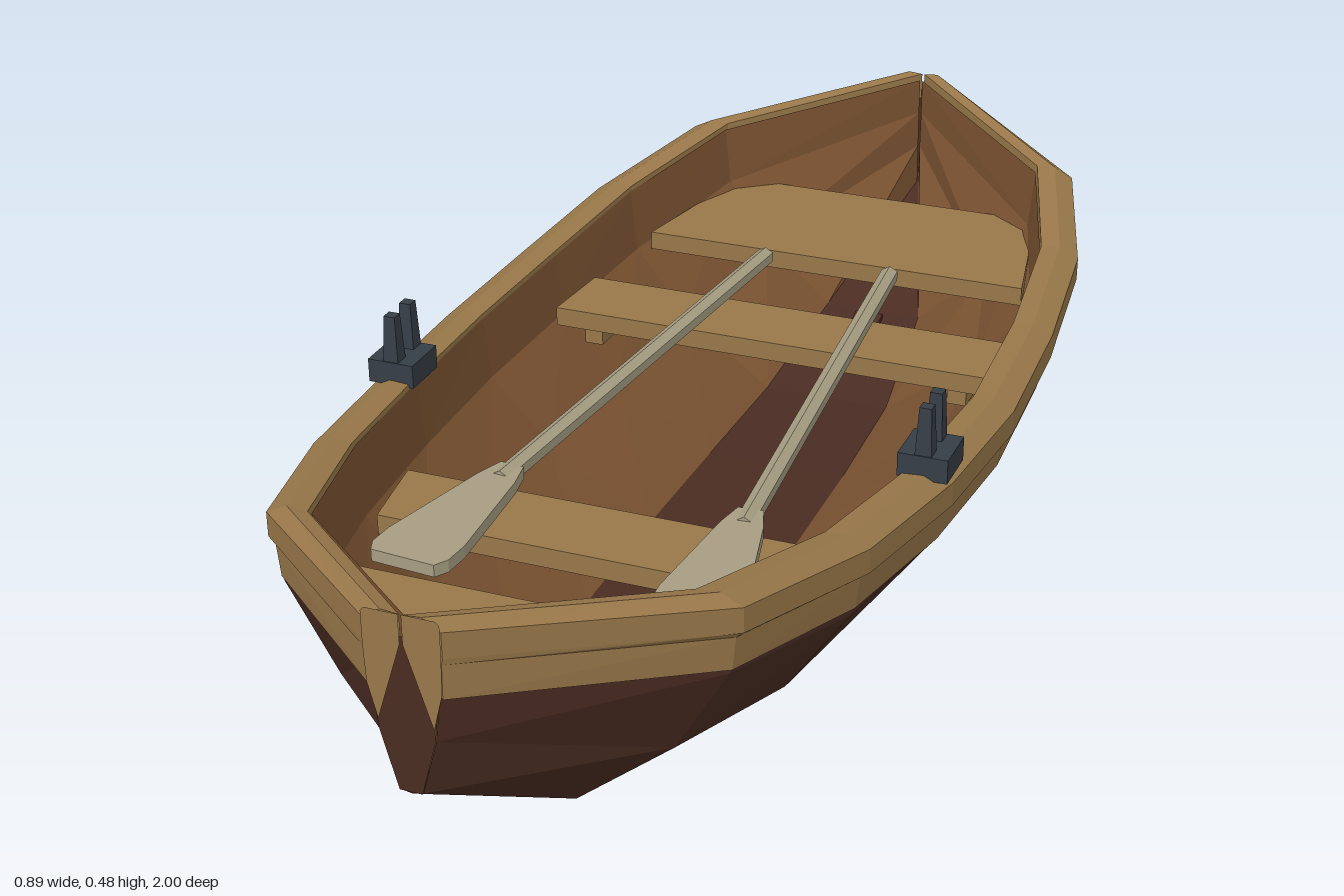
import * as THREE from 'three';

const mat = (name, color, side = THREE.FrontSide) =>
  Object.assign(new THREE.MeshStandardMaterial({ color, side, flatShading: true }), { name });

// Hull stations: z, half width at the rail, sheer height, bottom height
const STATIONS = [
  [-0.997, 0.05, 0.455, 0.235], [-0.75, 0.335, 0.412, 0.085], [-0.5, 0.41, 0.38, 0.03],
  [-0.25, 0.435, 0.361, 0.025], [0, 0.445, 0.355, 0.025], [0.25, 0.43, 0.365, 0.025],
  [0.5, 0.395, 0.39, 0.03], [0.75, 0.32, 0.43, 0.085], [0.997, 0.05, 0.478, 0.235],
];
const innerWidth = w => Math.max(w - 0.06, 0.002);

// Skin rows of points; an outline running anticlockwise in xy faces outward
function loft(rows, { closed = false, flip = false } = {}) {
  const pos = [];
  const tri = (a, b, c) => pos.push(...a, ...(flip ? c : b), ...(flip ? b : c));
  const n = rows[0].length;
  for (let i = 0; i < rows.length - 1; i++) {
    for (let j = 0; j < (closed ? n : n - 1); j++) {
      const k = (j + 1) % n;
      const [a, b, c, d] = [rows[i][j], rows[i][k], rows[i + 1][j], rows[i + 1][k]];
      tri(a, b, c);
      tri(b, d, c);
    }
  }
  if (closed) {
    const first = rows[0], last = rows[rows.length - 1];
    for (let j = 1; j < n - 1; j++) {
      tri(first[0], first[j + 1], first[j]);
      tri(last[0], last[j], last[j + 1]);
    }
  }
  const geo = new THREE.BufferGeometry();
  geo.setAttribute('position', new THREE.Float32BufferAttribute(pos, 3));
  geo.computeVertexNormals();
  return geo;
}

const mirrorRow = half => [...half.map(([x, y, z]) => [-x, y, z]).reverse(), ...half];
const shapeOf = pts => new THREE.Shape(pts.map(p => new THREE.Vector2(...p)));

// Flat board from half an outline in (x, z), mirrored across x
function board(half, top, thick) {
  const pts = [...half, ...half.map(([x, z]) => [-x, z]).reverse()];
  const geo = new THREE.ExtrudeGeometry(shapeOf(pts), { depth: thick, bevelEnabled: false });
  return geo.rotateX(Math.PI / 2).translate(0, top, 0);
}

export function createModel() {
  const boat = new THREE.Group();
  boat.name = 'rowingBoat';
  const darkWood = mat('dark wood', 0x4a2c22, THREE.DoubleSide);
  const innerWood = mat('inner wood', 0x7a5231, THREE.DoubleSide);
  const trimWood = mat('trim wood', 0x987749);
  const oarWood = mat('oar wood', 0xa69d82);
  const iron = mat('iron', 0x363e46);

  const add = (name, geo, material, parent = boat) => {
    const mesh = new THREE.Mesh(geo, material);
    mesh.name = name;
    parent.add(mesh);
    return mesh;
  };

  // Outer hull
  add('outerHull', loft(STATIONS.map(([z, w, t, b]) => {
    const h = t - b;
    return mirrorRow([[0, b - 0.003, z], [0.3 * w, b, z], [0.72 * w, b + 0.32 * h, z],
      [0.945 * w, b + 0.68 * h, z], [0.96 * w, t - 0.04, z]]);
  })), darkWood);

  // Inner floor strip and side walls
  const inner = STATIONS.map(([z, w, t, b]) => {
    const u = innerWidth(w), h = t - b, zi = z * 0.988;
    return [[0.3 * u, b + 0.02, zi], [0.72 * u, b + 0.02 + 0.31 * h, zi],
      [0.97 * u, b + 0.68 * h, zi], [u, t - 0.01, zi]];
  });
  add('floor', loft(inner.map(r => mirrorRow([r[0]])), { flip: true }), darkWood);
  add('leftInnerWall', loft(inner, { flip: true }), innerWood);
  add('rightInnerWall', loft(inner.map(r => r.map(([x, y, z]) => [-x, y, z]))), innerWood);

  // Gunwale with the strake below it
  const rail = STATIONS.map(([z, w, t]) => {
    const u = innerWidth(w), k = w - u;
    return [[u, t - 0.045, z], [0.955 * w, t - 0.105, z], [0.97 * w, t - 0.058, z], [w, t - 0.05, z],
      [w, t - 0.015, z], [u + 0.5 * k, t, z], [u, t - 0.002, z]];
  });
  add('leftGunwale', loft(rail, { closed: true }), trimWood);
  add('rightGunwale', loft(rail.map(r => r.map(([x, y, z]) => [-x, y, z])),
    { closed: true, flip: true }), trimWood);

  // Stem faces at both ends, with trim over their tops
  for (const [name, turn, t] of [['bow', 0, 0.478], ['stern', Math.PI, 0.455]]) {
    const stem = new THREE.Group();
    stem.name = name + 'Stem';
    stem.rotation.y = turn;
    boat.add(stem);
    const half = [[0.015, 0.235], [0.036, 0.313], [0.047, t - 0.08], [0.047, t - 0.03]];
    const face = [...half, ...half.map(([x, y]) => [-x, y]).reverse()];
    add('stemFace', new THREE.ShapeGeometry(shapeOf(face)).translate(0, 0, 0.9985), darkWood, stem);
    const trim = [[0.002, t - 0.04], [0.036, t - 0.148], [0.048, t - 0.1], [0.05, t - 0.05],
      [0.05, t - 0.005], [0.045, t], [0.002, t]];
    for (const s of [1, -1]) {
      const pts = trim.map(([x, y]) => [s * x, y]);
      add('stemTrim', new THREE.ShapeGeometry(shapeOf(pts)).translate(0, 0, 1), trimWood, stem);
    }
  }

  // Keel
  const keel = [[-0.72, 0.06, 0.11], [-0.48, 0.008, 0.04], [-0.35, 0, 0.035],
    [0.35, 0, 0.035], [0.48, 0.008, 0.04], [0.72, 0.068, 0.11]];
  add('keel', loft(keel.map(([z, lo, hi]) =>
    [[-0.024, lo, z], [0.024, lo, z], [0.024, hi, z], [-0.024, hi, z]]), { closed: true }), darkWood);

  // Seats
  add('sternSeat', board([[0.235, -0.79], [0.28, -0.725], [0.32, -0.51]], 0.295, 0.03), trimWood);
  add('bowSeat', board([[0.265, 0.67], [0.23, 0.74], [0.11, 0.87]], 0.31, 0.03), trimWood);
  add('rearBench', board([[0.345, -0.33], [0.355, -0.2]], 0.283, 0.03), trimWood);
  add('frontBench', board([[0.325, 0.37], [0.305, 0.5]], 0.283, 0.03), trimWood);
  for (const [z, x] of [[-0.265, 0.3], [0.435, 0.25]]) {
    for (const s of [1, -1]) {
      add('benchBracket', new THREE.BoxGeometry(0.03, 0.035, 0.09).translate(s * x, 0.238, z), trimWood);
    }
  }

  // Oars resting on the benches, pointing along +z before they are turned
  for (const [side, x0, x1] of [['left', 0.108, 0.2], ['right', -0.105, -0.2]]) {
    const oar = new THREE.Group();
    oar.name = side + 'Oar';
    oar.position.set(x0, 0.298, -0.48);
    oar.rotation.y = Math.atan2(x1 - x0, 1.1);
    boat.add(oar);
    add('shaft', new THREE.CylinderGeometry(0.015, 0.015, 0.86, 6).rotateX(Math.PI / 2)
      .translate(0, 0, 0.43), oarWood, oar);
    add('blade', board([[0.018, 0.825], [0.03, 0.87], [0.058, 1.05], [0.058, 1.09], [0.048, 1.11]],
      0.009, 0.018), oarWood, oar);
  }

  // Oarlocks
  for (const [side, s] of [['left', 1], ['right', -1]]) {
    const lock = new THREE.Group();
    lock.name = side + 'Oarlock';
    lock.position.set(s * 0.394, 0, 0.24);
    boat.add(lock);
    add('base', new THREE.BoxGeometry(0.07, 0.035, 0.075).translate(0, 0.378, 0), iron, lock);
    for (const z of [-0.024, 0.024]) {
      const prong = new THREE.CylinderGeometry(0.012, 0.017, 0.075, 4).rotateY(Math.PI / 4);
      add('prong', prong.translate(0, 0.427, z), iron, lock);
    }
  }
  return boat;
}
